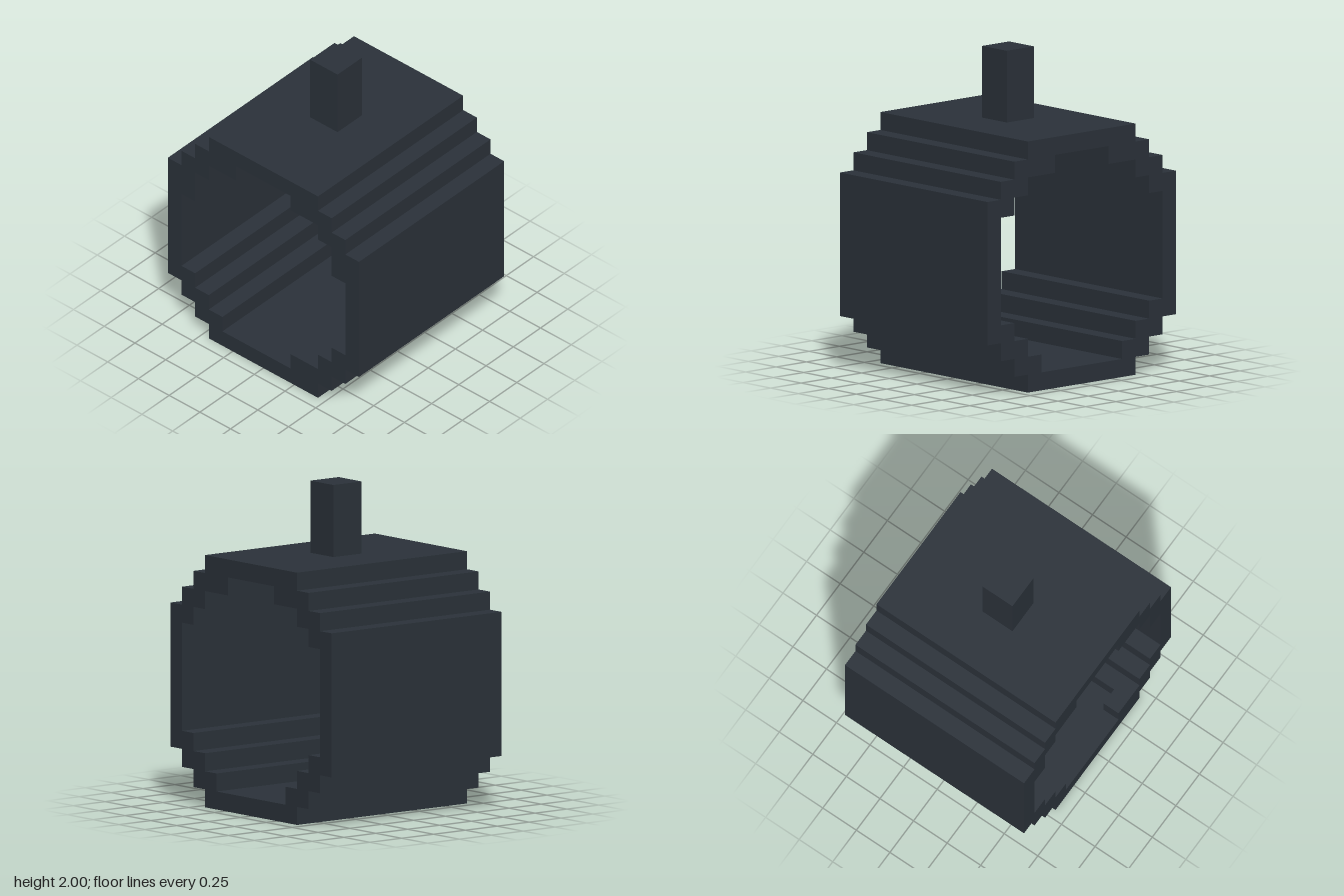
import * as THREE from 'three';

const U = 1 / 9; // edge of one cube of the blocky grid

// Mirror a stepped half profile [half depth, height] into a closed outline
function stepped(half, PathType) {
  const pts = [...half, ...half.map(([d, y]) => [-d, y]).reverse()];
  return new PathType(pts.map(([d, y]) => new THREE.Vector2(d * U, y * U)));
}

export function createModel() {
  const model = new THREE.Group();
  const material = new THREE.MeshStandardMaterial({ color: 0x2b323a, flatShading: true });

  const add = (name, geometry) => {
    const mesh = new THREE.Mesh(geometry, material);
    mesh.name = name;
    model.add(mesh);
  };

  // Box given by its lowest corner and size in grid cubes
  const block = (name, [x, y, z], [w, h, d]) => add(name,
    new THREE.BoxGeometry(w * U, h * U, d * U)
      .translate((x + w / 2) * U, (y + h / 2) * U, (z + d / 2) * U));

  // Stepped octagonal tube, open at both ends
  const shell = stepped([
    [4, 0], [4, 1], [5, 1], [5, 2], [6, 2], [6, 3], [7, 3], [7, 11],
    [6, 11], [6, 12], [5, 12], [5, 13], [4, 13], [4, 14],
  ], THREE.Shape);
  shell.holes.push(stepped([
    [3, 1], [3, 2], [4, 2], [4, 3], [5, 3], [5, 4], [6, 4], [6, 10],
    [5, 10], [5, 11], [4, 11], [4, 12], [2, 12], [2, 13],
  ], THREE.Path));
  add('shell', new THREE.ExtrudeGeometry(shell, { depth: 12 * U, bevelEnabled: false })
    .translate(0, 0, -6 * U).rotateY(Math.PI / 2));

  // Square post on the roof
  block('topPost', [-1, 14, -1], [2, 4, 2]);

  // Single cubes inside the right-hand opening
  block('wallStudFront', [-6, 9, 5], [1, 1, 1]);
  block('wallStudBack', [-6, 9, -6], [1, 1, 1]);
  block('floorStud', [-6, 1, 2], [1, 1, 1]);

  return model;
}
